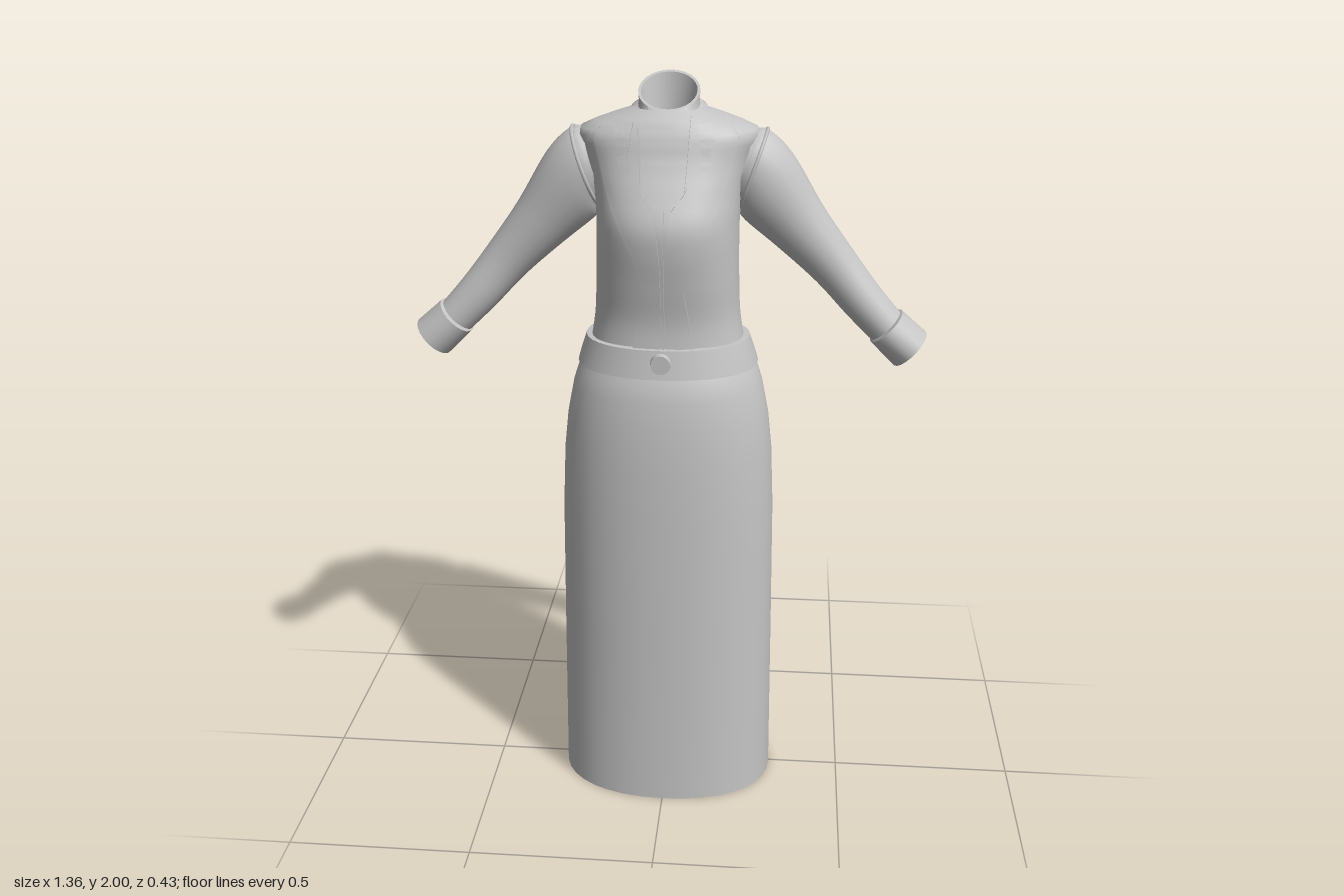
import * as THREE from 'three';
import { toCreasedNormals } from 'three/addons/utils/BufferGeometryUtils.js';

const cloth = new THREE.MeshStandardMaterial({ color: 0xc4c4c4, side: THREE.DoubleSide });
cloth.name = 'light grey cloth';

// Skin over closed rings of points; flip reverses the winding for mirrored parts
function loft(rings, flip = false, crease = 0.7) {
  const n = rings[0].length, pos = [], idx = [];
  rings.forEach(r => r.forEach(p => pos.push(p[0], p[1], p[2])));
  for (let i = 0; i < rings.length - 1; i++) {
    for (let j = 0; j < n; j++) {
      const k = (j + 1) % n;
      const a = i * n + j, b = i * n + k, c = a + n, d = b + n;
      if (flip) idx.push(a, b, c, b, d, c);
      else idx.push(a, c, b, b, c, d);
    }
  }
  const g = new THREE.BufferGeometry();
  g.setAttribute('position', new THREE.Float32BufferAttribute(pos, 3));
  g.setIndex(idx);
  return toCreasedNormals(g, crease);
}

// Smooth interpolation through rows sorted by their first value
function rowAt(rows, y) {
  let i = 0;
  while (i < rows.length - 2 && y > rows[i + 1][0]) i++;
  const t = THREE.MathUtils.clamp((y - rows[i][0]) / (rows[i + 1][0] - rows[i][0]), 0, 1);
  const at = k => rows[THREE.MathUtils.clamp(k, 0, rows.length - 1)];
  return rows[i].map((p1, c) => {
    const p0 = at(i - 1)[c], p2 = at(i + 1)[c], p3 = at(i + 2)[c];
    return p1 + 0.5 * t * (p2 - p0 + t * (2 * p0 - 5 * p1 + 4 * p2 - p3 + t * (3 * (p1 - p2) + p3 - p0)));
  });
}

// Level ring: half width, front z, back z, z of the sides, superellipse power
function bodyRing([y, hw, zf, zb, zc], n, count) {
  return Array.from({ length: count }, (_, j) => {
    const a = (j / count) * Math.PI * 2, c = Math.cos(a), s = Math.sin(a);
    const x = Math.sign(c) * Math.abs(c) ** (2 / n) * hw;
    const z = Math.sign(s) * Math.abs(s) ** (2 / n) * (s > 0 ? zf - zc : zc - zb);
    return [x, y, zc + z];
  });
}

// Tilted oval ring around the neck
function neckRing([y, rx, rz, zc, slope]) {
  return Array.from({ length: 28 }, (_, j) => {
    const a = (j / 28) * Math.PI * 2, z = rz * Math.sin(a);
    return [rx * Math.cos(a), y + slope * z, zc + z];
  });
}

// Ring across the arm: centre x, y, z, half height, half depth, axis angle below horizontal
function armRing([x, y, z, h, d, ang], s, count = 20) {
  return Array.from({ length: count }, (_, j) => {
    const a = (j / count) * Math.PI * 2, u = h * Math.cos(a);
    return [s * (x + u * Math.sin(ang)), y + u * Math.cos(ang), z + d * Math.sin(a)];
  });
}

// Bodice rows: y, half width, front z, back z, z of the sides
const TORSO = [
  [1.31, 0.205, 0.155, -0.125, 0.01], [1.4, 0.19, 0.152, -0.105, 0.01], [1.5, 0.185, 0.168, -0.118, 0.01],
  [1.6, 0.183, 0.184, -0.142, 0], [1.66, 0.184, 0.182, -0.158, -0.01], [1.73, 0.192, 0.152, -0.17, -0.025],
  [1.8, 0.21, 0.118, -0.166, -0.035], [1.845, 0.228, 0.102, -0.152, -0.038], [1.866, 0.228, 0.094, -0.142, -0.038],
  [1.885, 0.19, 0.084, -0.13, -0.035], [1.903, 0.14, 0.073, -0.122, -0.03], [1.92, 0.085, 0.05, -0.105, -0.03],
];
const POWER = 2.35;

function frontZ(x, y) {
  const [, hw, zf, , zc] = rowAt(TORSO, y);
  const k = Math.min(1, Math.abs(x) / hw);
  return zc + (zf - zc) * (1 - k ** POWER) ** (1 / POWER);
}

// Thin panel lying on the chest; rows are y, inner x, outer x
function panel(rows, s, lift, steps = 24) {
  const lines = [], y0 = rows[0][0], y1 = rows[rows.length - 1][0];
  for (let i = 0; i <= steps; i++) {
    const y = y0 + (y1 - y0) * i / steps;
    let k = 0;
    while (k < rows.length - 2 && y > rows[k + 1][0]) k++;
    const t = (y - rows[k][0]) / (rows[k + 1][0] - rows[k][0]);
    const a = THREE.MathUtils.lerp(rows[k][1], rows[k + 1][1], t);
    const b = THREE.MathUtils.lerp(rows[k][2], rows[k + 1][2], t);
    const line = [];
    for (let j = 0; j <= 10; j++) {
      const x = b + (a - b) * Math.min(1, Math.max(0, (j - 1) / 8));
      line.push([s * x, y, frontZ(x, y) + (j === 0 || j === 10 ? -0.004 : lift)]);
    }
    lines.push(line);
  }
  return loft(lines, s < 0, 0.6);
}

export function createModel() {
  const model = new THREE.Group();
  model.name = 'longDress';
  const add = (name, geometry) => {
    const m = new THREE.Mesh(geometry, cloth);
    m.name = name;
    model.add(m);
    return m;
  };

  // Long open skirt with a thin hem turned inward
  const skirt = [
    [0.02, 0.288, 0.203, -0.202, 0.002], [0, 0.288, 0.203, -0.202, 0.002], [0, 0.3, 0.216, -0.215, 0.002],
    [0.5, 0.294, 0.213, -0.212, 0.002], [0.85, 0.289, 0.211, -0.21, 0.002], [1.02, 0.281, 0.208, -0.207, 0.002],
    [1.12, 0.27, 0.203, -0.202, 0.002], [1.2, 0.254, 0.194, -0.194, 0.002], [1.24, 0.241, 0.186, -0.186, 0.002],
    [1.268, 0.228, 0.174, -0.174, 0.002], [1.268, 0.216, 0.162, -0.162, 0.002],
  ];
  add('skirt', loft(skirt.map(r => bodyRing(r, 2.2, 36))));

  // Waistband
  const band = [
    [1.262, 0.222, 0.168, -0.168, 0.003], [1.264, 0.239, 0.186, -0.183, 0.003], [1.3, 0.228, 0.179, -0.165, 0.005],
    [1.338, 0.215, 0.171, -0.143, 0.008], [1.34, 0.19, 0.148, -0.1, 0.01],
  ];
  add('waistband', loft(band.map(r => bodyRing(r, 2.2, 36))));

  const button = add('waistButton', new THREE.CylinderGeometry(0.025, 0.027, 0.016, 20));
  button.rotation.x = Math.PI / 2;
  button.position.set(-0.005, 1.305, 0.181);

  // Fitted bodice
  const torso = [];
  for (let i = 0; i <= 36; i++) torso.push(bodyRing(rowAt(TORSO, 1.31 + 0.61 * i / 36), POWER, 40));
  add('bodice', loft(torso, false, 1.2));

  // Rounded shirt front and the centre closure below it
  const bib = [[1.705, 0.022], [1.715, 0.038], [1.74, 0.052], [1.8, 0.056], [1.91, 0.062]];
  add('shirtFront', panel(bib.map(([y, w]) => [y, -w, w]), 1, 0.014));
  add('frontClosure', panel([[1.34, -0.003, 0.003], [1.71, -0.003, 0.003]], 1, 0.012));

  for (const s of [1, -1]) {
    const side = s > 0 ? 'left' : 'right';

    // Lapel sweeping from the shoulder to the waist, with a stepped notch on top
    add(side + 'Lapel', panel([
      [1.34, 0.006, 0.078], [1.5, 0.006, 0.05], [1.58, 0.008, 0.075], [1.7, 0.022, 0.135],
      [1.74, 0.058, 0.15], [1.8, 0.062, 0.166], [1.86, 0.066, 0.183], [1.884, 0.068, 0.16],
    ], s, 0.009, 32));
    add(side + 'LapelNotch', panel([
      [1.77, 0.088, 0.094], [1.82, 0.09, 0.125], [1.823, 0.09, 0.11], [1.895, 0.08, 0.135],
    ], s, 0.016));

    // Sleeve
    const arm = [
      [0.19, 1.775, -0.037, 0.096, 0.082, 0.3], [0.215, 1.762, -0.037, 0.107, 0.087, 0.36],
      [0.255, 1.717, -0.038, 0.104, 0.085, 0.62], [0.335, 1.62, -0.043, 0.08, 0.073, 0.8],
      [0.43, 1.515, -0.043, 0.063, 0.062, 0.84], [0.51, 1.423, -0.032, 0.056, 0.058, 0.82],
      [0.595, 1.335, -0.022, 0.05, 0.056, 0.8],
    ].map((r, i) => [i, ...r]);
    const sleeve = [];
    for (let i = 0; i <= 30; i++) sleeve.push(armRing(rowAt(arm, i / 5).slice(1), s));
    add(side + 'Sleeve', loft(sleeve, s > 0, 1.2));

    // Piping around the armhole
    const seam = armRing([0.213, 1.764, -0.037, 0.107, 0.087, 0.34], s, 28).map(p => new THREE.Vector3(...p));
    add(side + 'ArmholeSeam', new THREE.TubeGeometry(new THREE.CatmullRomCurve3(seam, true), 56, 0.005, 6, true));

    // Turned-back cuff with a hollow end
    const cuff = [
      [0.57, 1.362, -0.022, 0.047, 0.056, 0.78], [0.572, 1.36, -0.022, 0.057, 0.071, 0.78],
      [0.637, 1.3, -0.022, 0.06, 0.075, 0.76], [0.637, 1.3, -0.022, 0.053, 0.067, 0.76],
      [0.6, 1.335, -0.022, 0.048, 0.055, 0.78],
    ];
    add(side + 'Cuff', loft(cuff.map(r => armRing(r, s)), s > 0, 0.6));
  }

  // Standing neck band with a sloping open top and a closed floor inside
  add('neckBand', loft([
    [1.89, 0.088, 0.082, -0.028, 0], [1.915, 0.08, 0.076, -0.026, -0.2], [1.94, 0.076, 0.068, -0.026, -0.5],
    [1.958, 0.078, 0.062, -0.027, -0.68], [1.958, 0.071, 0.056, -0.027, -0.68],
    [1.89, 0.055, 0.05, -0.028, -0.2], [1.88, 0.001, 0.001, -0.028, 0],
  ].map(neckRing)));

  // Two soft folds of the collar around the neck
  add('upperCollarFold', loft([
    [1.893, 0.088, 0.08, -0.028, -0.12], [1.901, 0.1, 0.094, -0.028, -0.15],
    [1.917, 0.097, 0.09, -0.028, -0.22], [1.926, 0.078, 0.074, -0.028, -0.3],
  ].map(neckRing), false, 1));
  add('lowerCollarFold', loft([
    [1.87, 0.102, 0.094, -0.03, 0.08], [1.88, 0.112, 0.106, -0.03, 0.08],
    [1.9, 0.106, 0.1, -0.03, 0.03], [1.91, 0.086, 0.08, -0.03, 0],
  ].map(neckRing), false, 1));

  return model;
}
